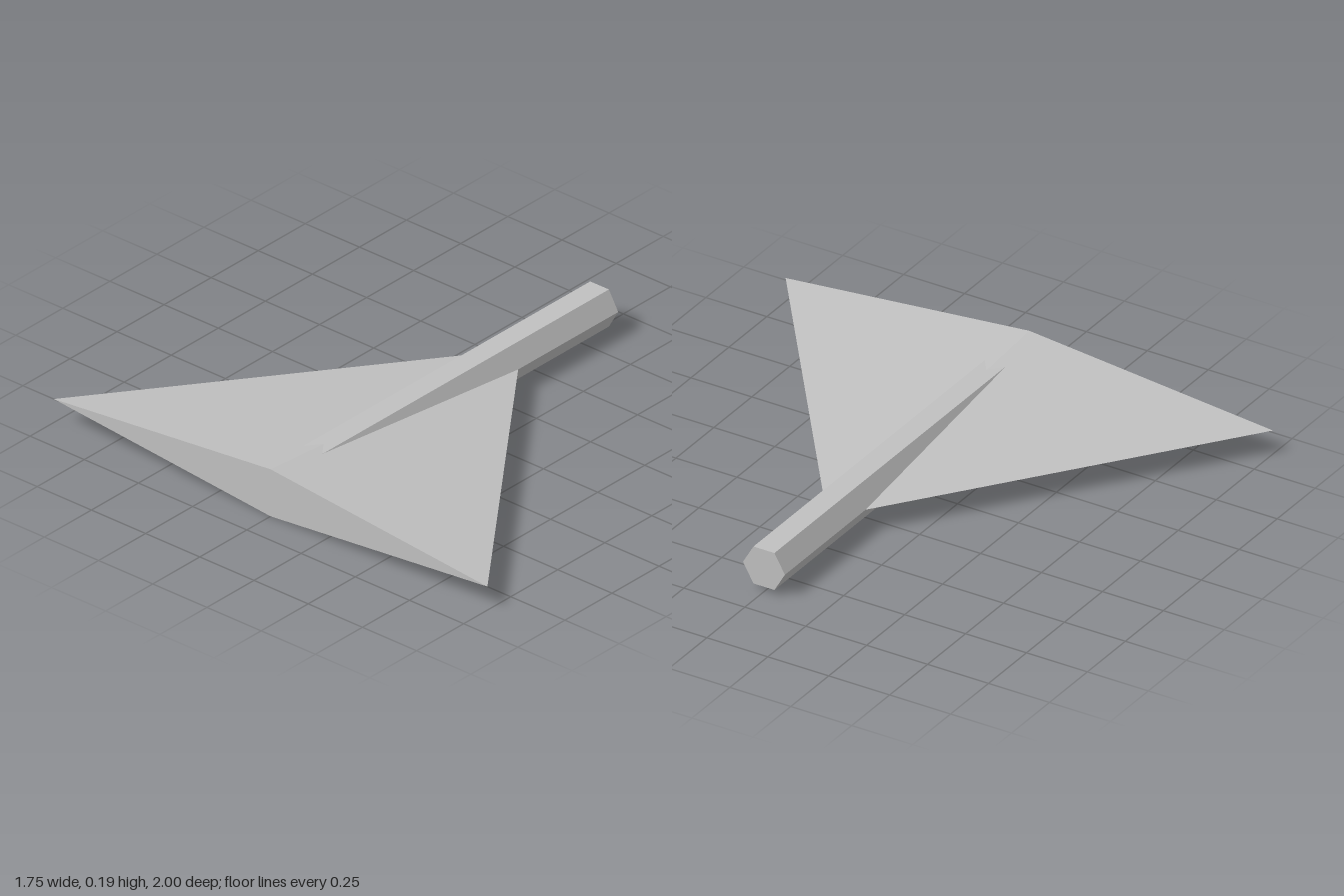
import * as THREE from 'three';

const HALF = 0.874;       // half length along x
const MID = 0.0945;       // height of the centre line

export function createModel() {
  const group = new THREE.Group();
  const grey = new THREE.MeshStandardMaterial({ color: 0xc0c0c0, flatShading: true });
  grey.name = 'light grey';

  // Straight prism or pyramid lying along x, from x0 (base) to x1 (tip)
  const addAlongX = (name, tipRadius, baseRadius, sides, x0, x1, flatten = 1) => {
    const geometry = new THREE.CylinderGeometry(tipRadius, baseRadius, x1 - x0, sides)
      .rotateZ(-Math.PI / 2)
      .scale(1, flatten, 1)
      .translate((x0 + x1) / 2, MID, 0);
    const mesh = new THREE.Mesh(geometry, grey);
    mesh.name = name;
    group.add(mesh);
  };

  // Flattened four-sided pyramid forming the swept wing
  addAlongX('wing', 0, 1, 4, -HALF, 0.457, MID);
  // Hexagonal rod, its rear end buried in the wing
  addAlongX('shaft', 0.086, 0.086, 6, -0.8, HALF);

  return group;
}
